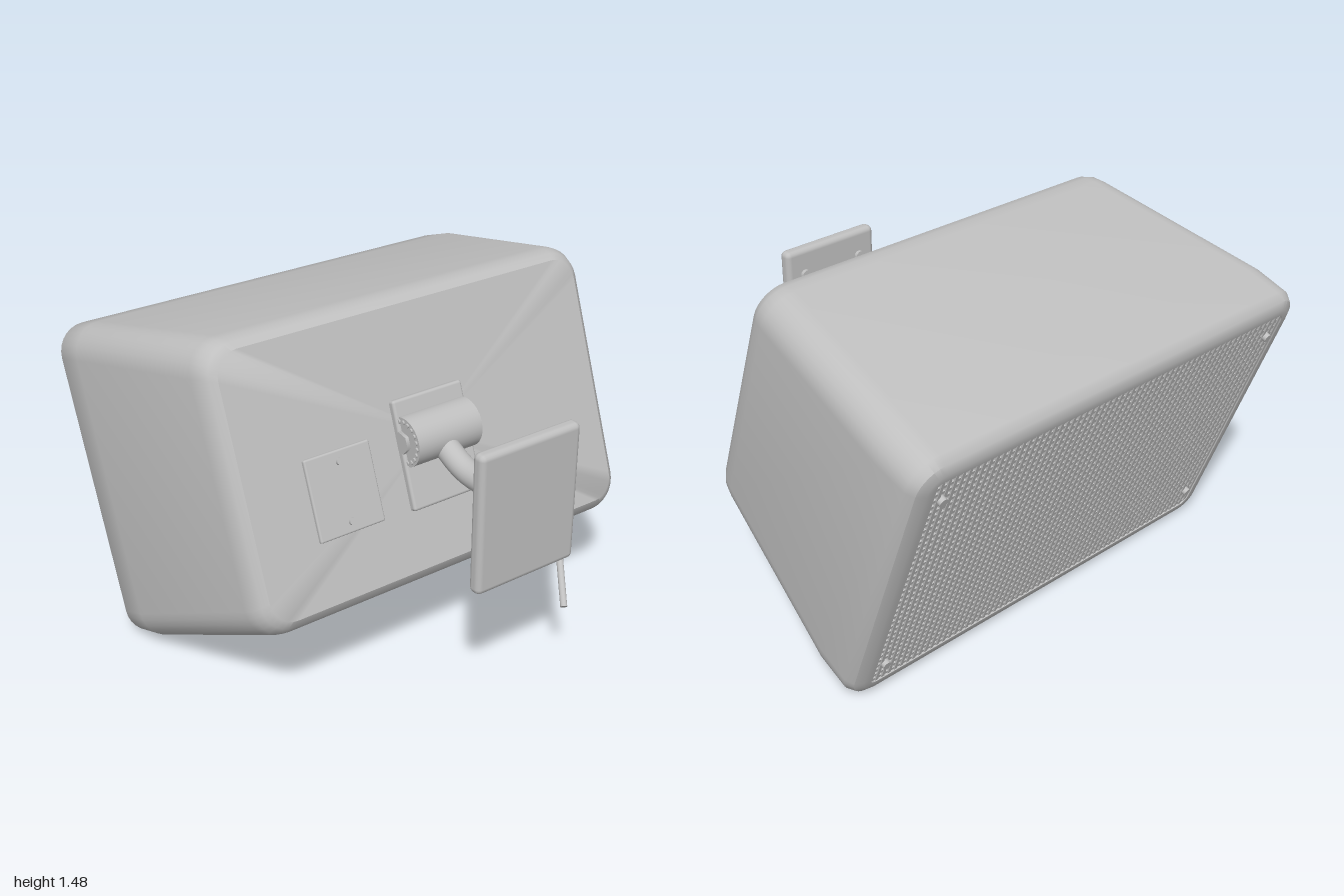
import * as THREE from 'three';
import { toCreasedNormals } from 'three/addons/utils/BufferGeometryUtils.js';
import { RoundedBoxGeometry } from 'three/addons/geometries/RoundedBoxGeometry.js';

const grey = new THREE.MeshStandardMaterial({ color: 0xbfbfbf });
grey.name = 'grey';

function add(parent, name, geometry, x = 0, y = 0, z = 0) {
  const mesh = new THREE.Mesh(geometry, grey);
  mesh.name = name;
  mesh.position.set(x, y, z);
  parent.add(mesh);
  return mesh;
}

// Straight round bar between two points
function bar(parent, name, from, to, radius, sides = 20) {
  const a = new THREE.Vector3(...from), b = new THREE.Vector3(...to);
  const dir = b.clone().sub(a);
  const mesh = add(parent, name, new THREE.CylinderGeometry(radius, radius, dir.length(), sides));
  mesh.position.copy(a).add(b).multiplyScalar(0.5);
  mesh.quaternion.setFromUnitVectors(new THREE.Vector3(0, 1, 0), dir.normalize());
  return mesh;
}

// Rounded rectangles [x, half width, half height, corner radius] joined along x
function loft(sections, steps = 7) {
  const pos = [], index = [], n = 4 * (steps + 1);
  for (const [x, w, h, r] of sections) {
    for (let q = 0; q < 4; q++) {
      const sy = q === 0 || q === 3 ? 1 : -1, sz = q < 2 ? 1 : -1;
      for (let s = 0; s <= steps; s++) {
        const t = (q + s / steps) * Math.PI / 2;
        pos.push(x, sy * (h - r) + r * Math.cos(t), sz * (w - r) + r * Math.sin(t));
      }
    }
  }
  const last = sections.length - 1;
  for (let i = 0; i < last; i++) {
    for (let j = 0; j < n; j++) {
      const k = (j + 1) % n, a = i * n, b = a + n;
      index.push(a + j, a + k, b + j, a + k, b + k, b + j);
    }
  }
  const c0 = pos.length / 3;
  pos.push(sections[0][0], 0, 0, sections[last][0], 0, 0);
  for (let j = 0; j < n; j++) {
    const k = (j + 1) % n;
    index.push(c0, k, j, c0 + 1, last * n + j, last * n + k);
  }
  const g = new THREE.BufferGeometry();
  g.setAttribute('position', new THREE.Float32BufferAttribute(pos, 3));
  g.setIndex(index);
  return toCreasedNormals(g, 0.6);
}

export function createModel() {
  const model = new THREE.Group();
  model.name = 'wallSpeaker';

  // Tilted cabinet; local -x is the grille side, +x the back
  const cabinet = new THREE.Group();
  cabinet.name = 'cabinet';
  cabinet.rotation.z = THREE.MathUtils.degToRad(20);
  model.add(cabinet);
  const cy = 0.807, back = 0.63;

  add(cabinet, 'housing', loft([
    [-0.405, 0.915, 0.58, 0.04],
    [-0.437, 0.915, 0.58, 0.04],
    [-0.437, 0.945, 0.61, 0.07],
    [-0.42, 0.98, 0.642, 0.1],
    [-0.384, 1.0, 0.662, 0.12],
    [-0.233, 1.0, 0.662, 0.13],
    [0.53, 0.905, 0.57, 0.13],
    [0.575, 0.895, 0.56, 0.125],
    [0.61, 0.875, 0.54, 0.115],
    [back, 0.848, 0.514, 0.1],
  ]), 0, cy, 0);

  // Grille mesh
  const grille = new THREE.Group();
  grille.name = 'grille';
  cabinet.add(grille);
  const rows = 38, columns = 60;
  for (let i = 0; i < rows; i++) {
    const y = cy - 0.57 + 1.14 * i / (rows - 1);
    add(grille, 'grilleRow', new THREE.BoxGeometry(0.012, 0.014, 1.83), -0.424, y, 0);
  }
  for (let i = 0; i < columns; i++) {
    const z = -0.905 + 1.81 * i / (columns - 1);
    add(grille, 'grilleColumn', new THREE.BoxGeometry(0.012, 1.16, 0.014), -0.427, cy, z);
  }
  for (const y of [-0.475, 0.475]) {
    for (const z of [-0.86, 0.86]) {
      bar(grille, 'grilleScrew', [-0.41, cy + y, z], [-0.449, cy + y, z], 0.018);
    }
  }

  // Cover plate with two screws on the back
  add(cabinet, 'coverPlate', new RoundedBoxGeometry(0.024, 0.322, 0.294, 2, 0.008), back + 0.004, 0.7, 0.445);
  for (const y of [0.583, 0.817]) {
    bar(cabinet, 'coverScrew', [back, y, 0.445], [back + 0.026, y, 0.445], 0.014);
  }

  // Hinge: base plate, drum, end discs with a ring of studs and a hex bolt
  const hinge = new THREE.Group();
  hinge.name = 'hinge';
  hinge.position.set(0.655, cy, 0);
  cabinet.add(hinge);
  add(hinge, 'hingePlate', new RoundedBoxGeometry(0.04, 0.44, 0.335, 2, 0.012), -0.018, -0.055, 0);
  bar(hinge, 'hingeDrum', [0, 0, -0.153], [0, 0, 0.153], 0.1, 40);
  for (const side of [-1, 1]) {
    bar(hinge, 'hexBolt', [0, 0, side * 0.14], [0, 0, side * 0.168], 0.045, 6);
    for (let i = 0; i < 20; i++) {
      const t = i / 20 * Math.PI * 2, x = 0.083 * Math.cos(t), y = 0.083 * Math.sin(t);
      bar(hinge, 'hingeStud', [x, y, side * 0.145], [x, y, side * 0.16], 0.009, 10);
    }
  }

  // Cable gland and bent cable
  bar(cabinet, 'cableGland', [back - 0.01, 0.618, -0.46], [back + 0.05, 0.618, -0.46], 0.036, 24);
  const cable = new THREE.Group();
  cable.name = 'cable';
  model.add(cable);
  const bend = [0.61, 0.53, -0.42];
  bar(cable, 'upperCable', [0.41, 0.825, -0.46], bend, 0.014);
  bar(cable, 'lowerCable', bend, [0.81, 0.31, -0.29], 0.014);
  add(cable, 'cableBend', new THREE.SphereGeometry(0.014, 16, 10), ...bend);

  // Bent support arm
  const path = new THREE.CurvePath();
  const v = (x, y) => new THREE.Vector3(x, y, 0);
  path.add(new THREE.LineCurve3(v(0.36, 0.969), v(0.45, 0.925)));
  path.add(new THREE.QuadraticBezierCurve3(v(0.45, 0.925), v(0.52, 0.89), v(0.59, 0.89)));
  path.add(new THREE.LineCurve3(v(0.59, 0.89), v(0.845, 0.89)));
  add(model, 'supportArm', new THREE.TubeGeometry(path, 48, 0.05, 28));

  // Wall plate with four bolts on its inner face
  add(model, 'wallPlate', new RoundedBoxGeometry(0.06, 0.575, 0.47, 2, 0.024), 0.867, 0.892, 0);
  for (const y of [0.722, 1.062]) {
    for (const z of [-0.147, 0.147]) {
      bar(model, 'wallBolt', [0.845, y, z], [0.822, y, z], 0.023);
    }
  }
  return model;
}
